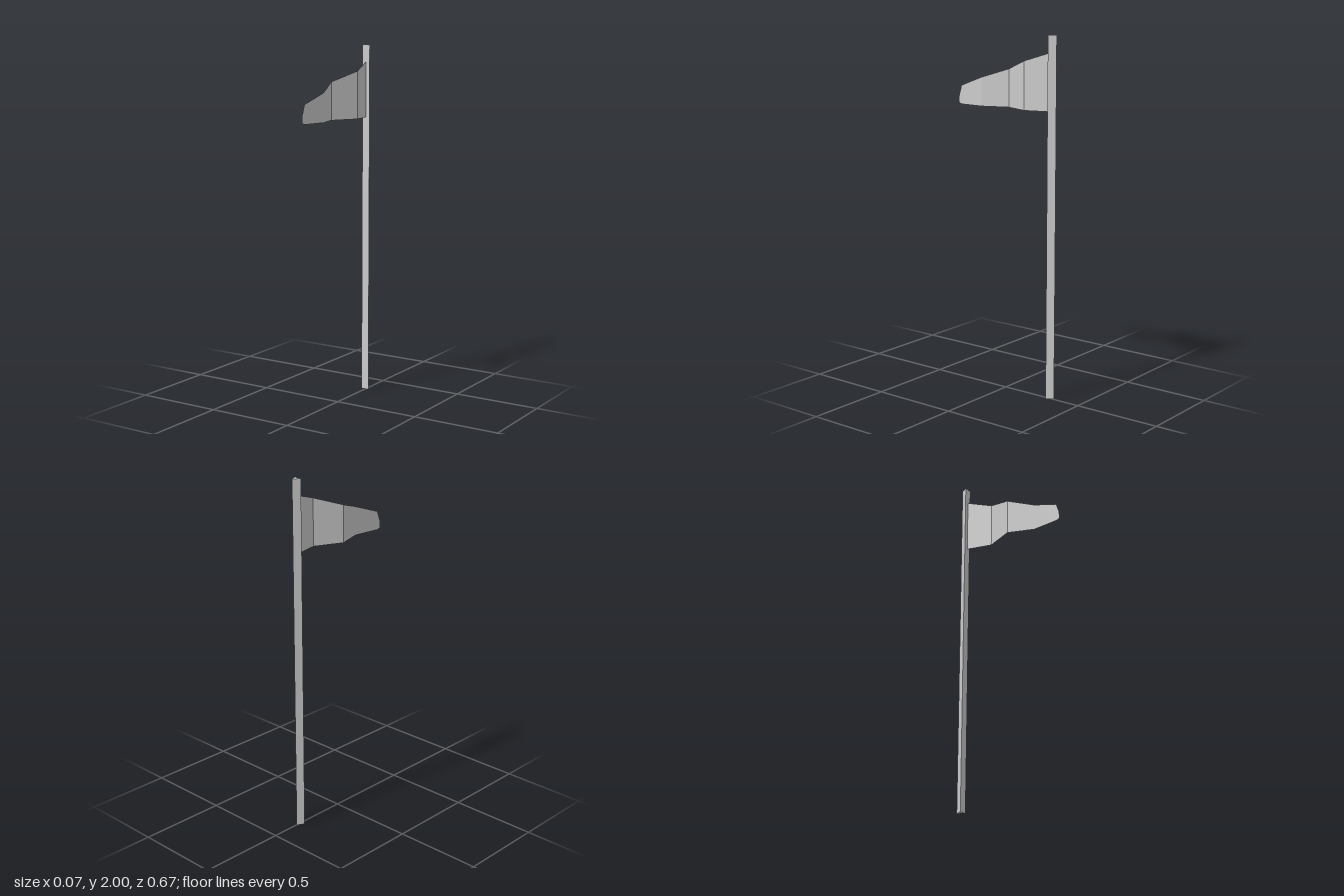
import * as THREE from 'three';

// Vertical cross-sections of the banner, pole to tip: [x, z, bottom, top]
const SECTIONS = [
  [-0.002, -0.296, 1.595, 1.907],
  [0.033, -0.15, 1.595, 1.86],
  [-0.037, 0.008, 1.595, 1.805],
  [0.014, 0.16, 1.595, 1.755],
  [-0.003, 0.317, 1.595, 1.7],
  [-0.005, 0.337, 1.602, 1.64],
];

// Folded sheet joining neighbouring sections
function sheet(sections) {
  const positions = [];
  const index = [];
  sections.forEach(([x, z, bottom, top], i) => {
    positions.push(x, bottom, z, x, top, z);
    if (i === 0) return;
    const a = 2 * (i - 1);
    index.push(a, a + 1, a + 2, a + 2, a + 1, a + 3);
  });
  const geometry = new THREE.BufferGeometry();
  geometry.setAttribute('position', new THREE.Float32BufferAttribute(positions, 3));
  geometry.setIndex(index);
  geometry.computeVertexNormals();
  return geometry;
}

export function createModel() {
  const group = new THREE.Group();
  group.name = 'flag';

  // Three-sided pole with one edge pointing back
  const pole = new THREE.Mesh(
    new THREE.CylinderGeometry(0.027, 0.027, 2, 3, 1, false, Math.PI),
    new THREE.MeshStandardMaterial({ color: 0xcccccc, flatShading: true })
  );
  pole.name = 'pole';
  pole.position.set(-0.0025, 1, -0.31);
  group.add(pole);

  // Thin waving banner
  const banner = new THREE.Mesh(
    sheet(SECTIONS),
    new THREE.MeshStandardMaterial({ color: 0xcccccc, flatShading: true, side: THREE.DoubleSide })
  );
  banner.name = 'banner';
  group.add(banner);

  return group;
}
